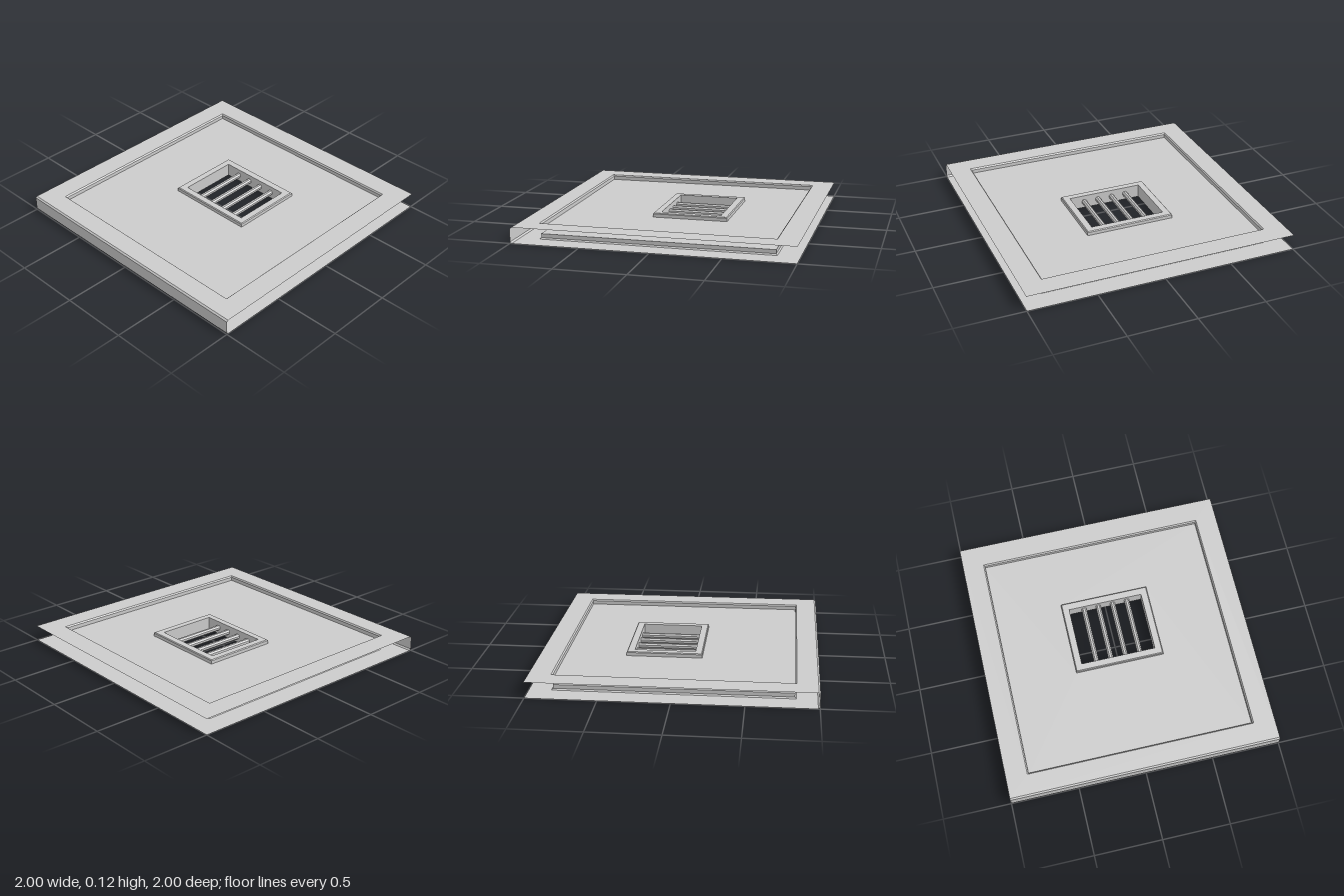
import * as THREE from 'three';

const material = new THREE.MeshStandardMaterial({ color: 0xcccccc, flatShading: true, side: THREE.DoubleSide });

// Skin between successive rectangles [halfWidth, zBack, zFront, y], outermost first
function rectLoft(rings) {
  const positions = [];
  const corners = ([w, z0, z1, y]) => [[-w, y, z0], [-w, y, z1], [w, y, z1], [w, y, z0]];
  for (let r = 0; r < rings.length - 1; r++) {
    const a = corners(rings[r]), b = corners(rings[r + 1]);
    for (let i = 0; i < 4; i++) {
      const j = (i + 1) % 4;
      positions.push(...a[i], ...a[j], ...b[j], ...a[i], ...b[j], ...b[i]);
    }
  }
  const geometry = new THREE.BufferGeometry();
  geometry.setAttribute('position', new THREE.Float32BufferAttribute(positions, 3));
  geometry.computeVertexNormals();
  return geometry;
}

function add(parent, name, geometry) {
  const mesh = new THREE.Mesh(geometry, material);
  mesh.name = name;
  parent.add(mesh);
  return mesh;
}

const MID = 0.0575;     // half of the thickness
const CHAMFER = 0.01;
const FLOOR = 0.0195;   // recessed panel height above the mid plane
const FRAME = 0.05;     // window frame height above the mid plane

// One face of the slab, from its outer skin down to the mid plane
function createFace(name) {
  const face = new THREE.Group();
  face.name = name;

  // Outer sheet, chamfered recess and recessed panel around the window
  add(face, 'panelSkin', rectLoft([
    [1, -1, 0.988, MID],
    [0.843, -0.843, 0.843, MID],
    [0.834, -0.834, 0.834, MID - CHAMFER],
    [0.834, -0.834, 0.834, FLOOR],
    [0.333, -0.39, 0.162, FLOOR],
  ]));

  // Raised window frame with a small outer bevel
  add(face, 'windowFrame', rectLoft([
    [0.333, -0.39, 0.162, FLOOR],
    [0.333, -0.39, 0.162, FRAME - 0.006],
    [0.327, -0.384, 0.156, FRAME],
    [0.28, -0.335, 0.11, FRAME],
  ]));

  // Walls of the window opening
  add(face, 'windowLining', rectLoft([
    [0.28, -0.335, 0.11, FRAME],
    [0.28, -0.335, 0.11, 0],
  ]));

  // Closed front edge with its chamfer; the other three edges stay open
  const edge = new THREE.PlaneGeometry(2, 1, 1, 2);
  const profile = [[MID, 0.988], [MID - CHAMFER, 1], [0, 1]];
  const p = edge.attributes.position;
  for (let i = 0; i < p.count; i++) {
    const [y, z] = profile[Math.floor(i / 2)];
    p.setXYZ(i, p.getX(i), y, z);
  }
  edge.computeVertexNormals();
  add(face, 'frontEdge', edge);
  return face;
}

export function createModel() {
  const model = new THREE.Group();
  model.name = 'barredPanel';

  const upper = createFace('upperFace');
  const lower = createFace('lowerFace');
  lower.rotation.z = Math.PI;
  upper.position.y = lower.position.y = MID;
  model.add(upper, lower);

  // Octagonal window bars
  const barGeometry = new THREE.CylinderGeometry(0.02, 0.02, 0.445, 8, 1, true);
  barGeometry.rotateY(Math.PI / 8);
  barGeometry.rotateX(Math.PI / 2);
  for (let i = 0; i < 4; i++) {
    add(model, 'windowBar', barGeometry).position.set((i - 1.5) * 0.111, MID, -0.1125);
  }
  return model;
}
